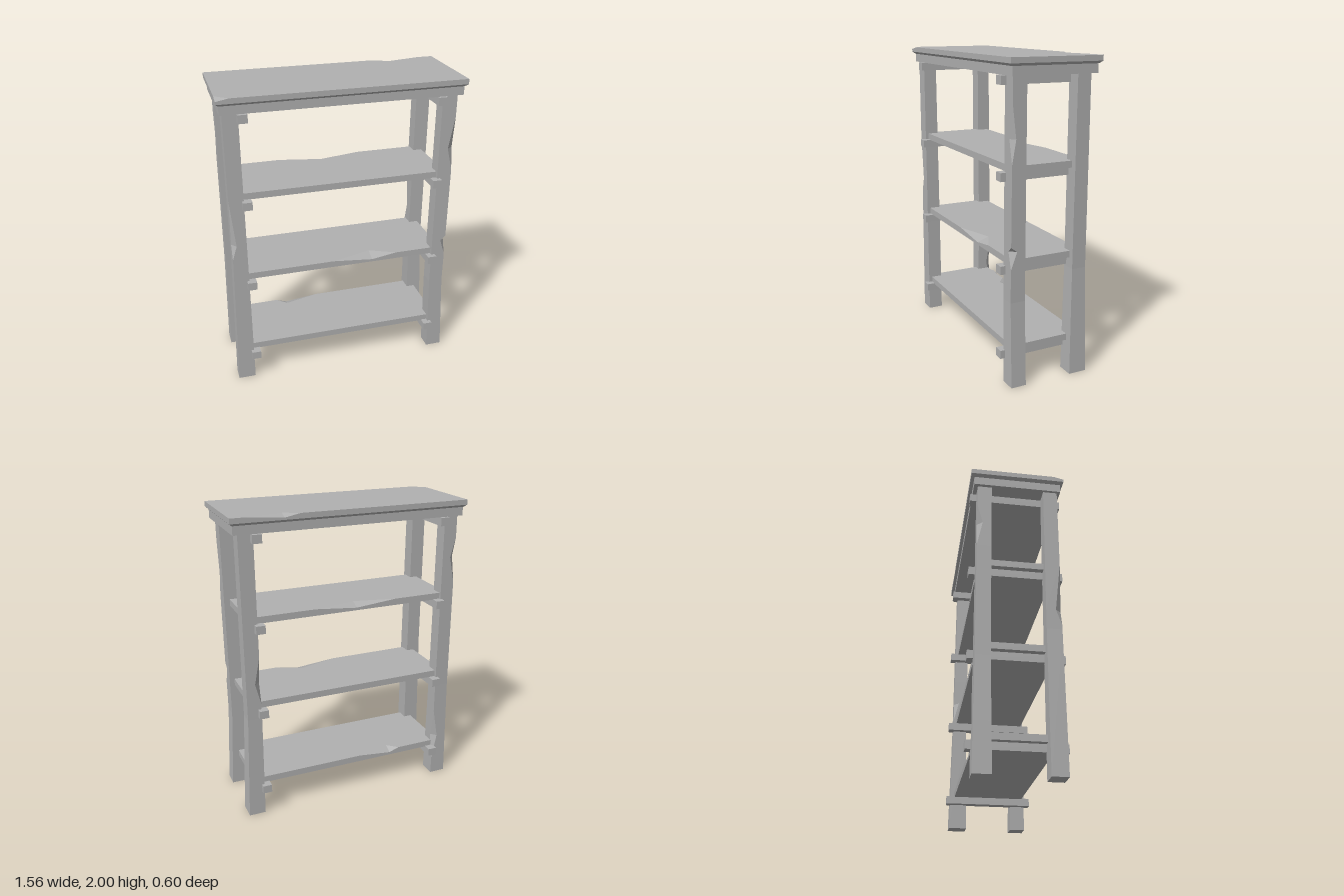
import * as THREE from 'three';

const gray = new THREE.MeshStandardMaterial({ color: 0xb0b0b0 });
gray.name = 'plain gray';
gray.flatShading = true;

// Sections are rectangles (a0,a1,b0,b1) at position t along the axis.
const axes = {
  y: (a, b, t) => new THREE.Vector3(b, t, a), // a = z, b = x
  x: (a, b, t) => new THREE.Vector3(t, a, b), // a = y, b = z
};

// Loft of rectangles whose corner edges can carry chips.
// ring: [t, a0, a1, b0, b1]; chip: [corner, from, deepest, to, depthA, depthB]
function loft(axis, rings, chips = []) {
  const map = axes[axis];
  const first = rings[0][0], last = rings[rings.length - 1][0];
  const levels = [...rings.map(r => r[0]), ...chips.flatMap(c => c.slice(1, 4))]
    .filter(t => t >= first && t <= last);
  const ts = [...new Set(levels)].sort((p, q) => p - q);

  const section = t => {
    let k = 0;
    while (k < rings.length - 2 && rings[k + 1][0] < t) k++;
    const f = (t - rings[k][0]) / (rings[k + 1][0] - rings[k][0]);
    const [, a0, a1, b0, b1] = rings[k].map((v, i) => v + (rings[k + 1][i] - v) * f);
    const corners = [[a0, b0, 1, 1], [a1, b0, -1, 1], [a1, b1, -1, -1], [a0, b1, 1, -1]];
    return corners.flatMap(([a, b, sa, sb], i) => {
      let da = 0, db = 0;
      for (const [corner, from, at, to, depthA, depthB] of chips) {
        if (corner !== i || t < from || t > to) continue;
        const w = t === at ? 1 : t < at ? (t - from) / (at - from) : (to - t) / (to - at);
        da = Math.max(da, depthA * w);
        db = Math.max(db, depthB * w);
      }
      const alongA = map(a + sa * da, b, t), alongB = map(a, b + sb * db, t);
      return i % 2 ? [alongA, alongB] : [alongB, alongA];
    });
  };

  const pos = [];
  const tri = (p, q, r) => {
    const n = q.clone().sub(p).cross(r.clone().sub(p));
    if (n.length() > 1e-9) pos.push(...p, ...q, ...r);
  };
  const loops = ts.map(section);
  for (let k = 0; k < loops.length - 1; k++) {
    for (let i = 0; i < 8; i++) {
      const j = (i + 1) % 8, lo = loops[k], hi = loops[k + 1];
      tri(lo[i], lo[j], hi[j]);
      tri(lo[i], hi[j], hi[i]);
    }
  }
  const start = loops[0], end = loops[loops.length - 1];
  for (let i = 1; i < 7; i++) {
    tri(start[0], start[i + 1], start[i]);
    tri(end[0], end[i], end[i + 1]);
  }
  const g = new THREE.BufferGeometry();
  g.setAttribute('position', new THREE.Float32BufferAttribute(pos, 3));
  g.computeVertexNormals();
  return g;
}

export function createModel() {
  const model = new THREE.Group();
  const add = (name, geometry, x = 0, y = 0, z = 0) => {
    const mesh = new THREE.Mesh(geometry, gray);
    mesh.name = name;
    mesh.position.set(x, y, z);
    model.add(mesh);
  };

  // Top board with two chips, bevel beneath it, and apron slab
  add('topBoard', loft('x', [[-0.78, 1.967, 2, -0.3, 0.3], [0.777, 1.967, 2, -0.3, 0.3]], [
    [1, 0.35, 0.45, 0.68, 0.02, 0.05],
    [2, -0.78, -0.78, -0.7, 0.015, 0.065],
  ]));
  add('topBevel', loft('y', [
    [1.952, -0.283, 0.283, -0.763, 0.76],
    [1.967, -0.3, 0.3, -0.78, 0.777],
  ]));
  add('apron', new THREE.BoxGeometry(1.52, 0.057, 0.56), -0.002, 1.925, 0);

  // Posts, slightly uneven, with chipped edges
  add('frontRightPost', loft('y', [
    [0, 0.165, 0.265, -0.755, -0.642],
    [0.9, 0.167, 0.262, -0.74, -0.645],
    [1.9, 0.17, 0.26, -0.745, -0.65],
  ], [[1, 0.93, 1.03, 1.35, 0.035, 0.03]]));
  add('frontLeftPost', loft('y', [
    [0, 0.165, 0.265, 0.632, 0.74],
    [0.55, 0.165, 0.262, 0.622, 0.716],
    [1.9, 0.17, 0.26, 0.63, 0.727],
  ], [
    [2, 0.76, 0.87, 0.9, 0.04, 0.035],
    [2, 1.39, 1.54, 1.75, 0.025, 0.037],
  ]));
  add('backRightPost', loft('y', [
    [0, -0.265, -0.155, -0.75, -0.642],
    [0.7, -0.258, -0.165, -0.74, -0.645],
    [1.9, -0.255, -0.165, -0.74, -0.65],
  ], [
    [0, 1.45, 1.62, 1.75, 0.035, 0.035],
    [3, 0.12, 0.3, 0.5, 0.035, 0.035],
  ]));
  add('backLeftPost', loft('y', [
    [0, -0.27, -0.15, 0.632, 0.742],
    [0.7, -0.26, -0.165, 0.625, 0.718],
    [1.9, -0.255, -0.165, 0.63, 0.725],
  ], [[0, 0.8, 0.94, 1.12, 0.035, 0.035]]));

  // Shelves with a chip on one long edge each
  const shelves = [
    ['lowerShelf', 0.255, [1, -0.38, -0.31, -0.08, 0.025, 0.06]],
    ['middleShelf', 0.81, [2, -0.07, 0.2, 0.37, 0.026, 0.08]],
    ['upperShelf', 1.378, [1, -0.32, -0.04, 0.24, 0.026, 0.06]],
  ];
  for (const [name, top, chip] of shelves) {
    const ring = x => [x, top - 0.043, top, -0.24, 0.24];
    add(name, loft('x', [ring(-0.695), ring(0.685)], [chip]));
  }

  // Cross bars carrying the shelves and the top
  for (const y of [0.19, 0.74, 1.311, 1.868]) {
    add('rightCrossBar', new THREE.BoxGeometry(0.06, 0.053, 0.59), -0.629, y, 0);
    add('leftCrossBar', new THREE.BoxGeometry(0.06, 0.053, 0.59), 0.618, y, 0);
  }
  return model;
}
